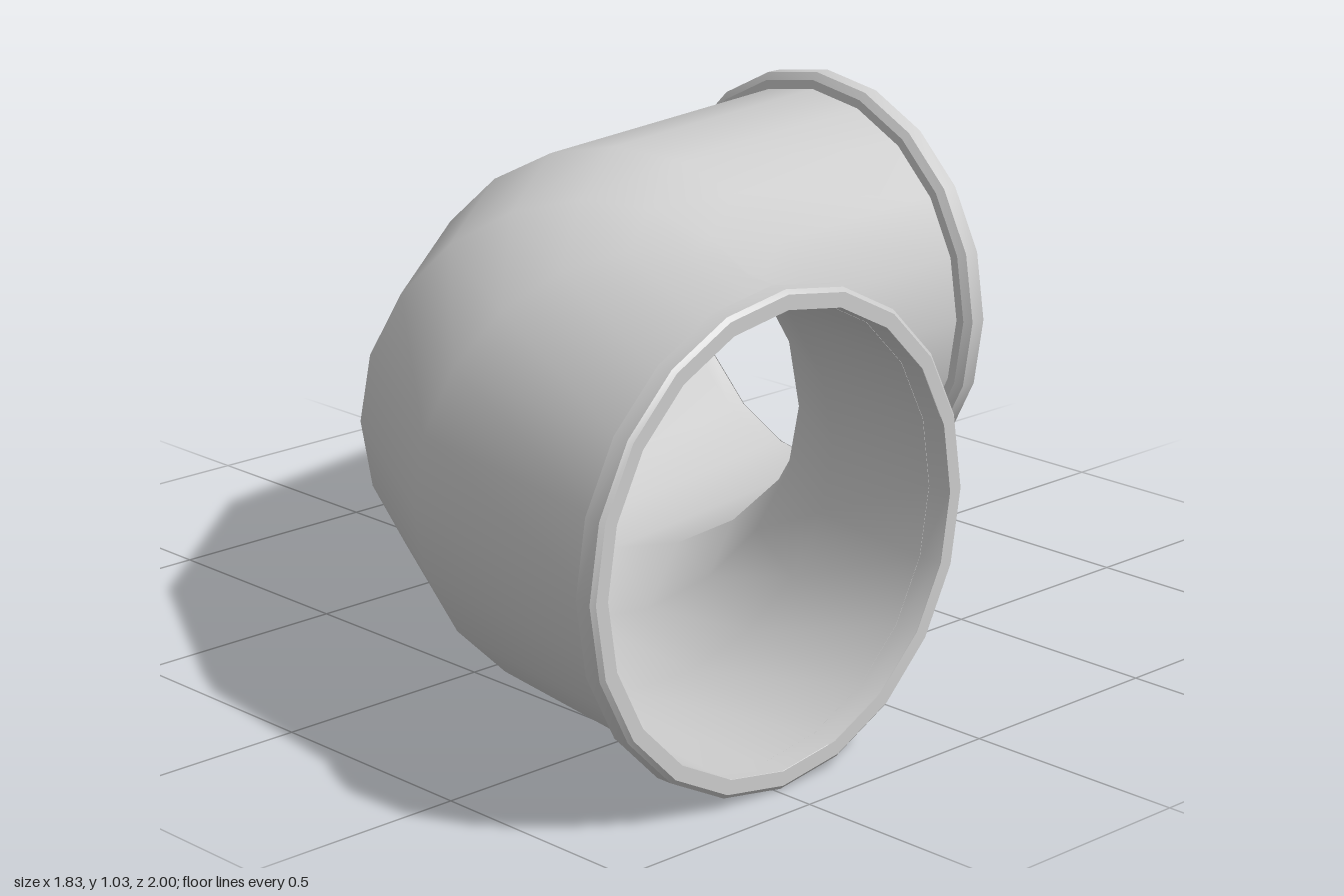
import * as THREE from 'three';
import { toCreasedNormals } from 'three/addons/utils/BufferGeometryUtils.js';

const SIDES = 20;
const RADIUS = 0.475;
const HEIGHT = 0.515; // height of the pipe's centre line

// Cross-sections along the bend: centre x, centre z, angle of the outer side (from -x towards +z)
const SECTIONS = [
  [-0.405, -0.998, 0],
  [-0.405, -0.95, 0],
  [-0.30, -0.195, 32.5],
  [0.005, 0.19, 53],
  [0.385, 0.41, 72],
  [0.86, 0.485, 90],
  [0.911, 0.485, 90],
];

function pipeGeometry() {
  const positions = [];
  const index = [];
  SECTIONS.forEach(([cx, cz, degrees], i) => {
    const turn = THREE.MathUtils.degToRad(degrees);
    for (let j = 0; j < SIDES; j++) {
      const a = (j / SIDES) * Math.PI * 2;
      const out = RADIUS * Math.cos(a);
      positions.push(cx - out * Math.cos(turn), HEIGHT + RADIUS * Math.sin(a), cz + out * Math.sin(turn));
      if (i === SECTIONS.length - 1) continue;
      const p = i * SIDES + j;
      const q = i * SIDES + ((j + 1) % SIDES);
      index.push(p, p + SIDES, q, q, p + SIDES, q + SIDES);
    }
  });
  const geometry = new THREE.BufferGeometry();
  geometry.setAttribute('position', new THREE.Float32BufferAttribute(positions, 3));
  geometry.setIndex(index);
  geometry.computeVertexNormals();
  return geometry;
}

// Chamfered collar around a pipe mouth, its face at y = 0
function flangeGeometry() {
  const profile = [
    [RADIUS, -0.058], [0.497, -0.058], [0.515, -0.046],
    [0.515, -0.008], [0.506, 0], [RADIUS, 0],
  ].map(([r, y]) => new THREE.Vector2(r, y));
  return toCreasedNormals(new THREE.LatheGeometry(profile, SIDES), 0.45);
}

export function createModel() {
  const group = new THREE.Group();
  group.name = 'pipeElbow';
  const material = new THREE.MeshStandardMaterial({ color: 0xcccccc, side: THREE.DoubleSide });

  // Bent pipe, open at both ends
  const pipe = new THREE.Mesh(pipeGeometry(), material);
  pipe.name = 'bentPipe';
  group.add(pipe);

  // Collars at the two mouths
  const collar = flangeGeometry();
  const backFlange = new THREE.Mesh(collar, material);
  backFlange.name = 'backFlange';
  backFlange.position.set(-0.405, HEIGHT, -1);
  backFlange.rotation.x = -Math.PI / 2;

  const leftFlange = new THREE.Mesh(collar, material);
  leftFlange.name = 'leftFlange';
  leftFlange.position.set(0.913, HEIGHT, 0.485);
  leftFlange.rotation.z = -Math.PI / 2;

  group.add(backFlange, leftFlange);
  return group;
}
